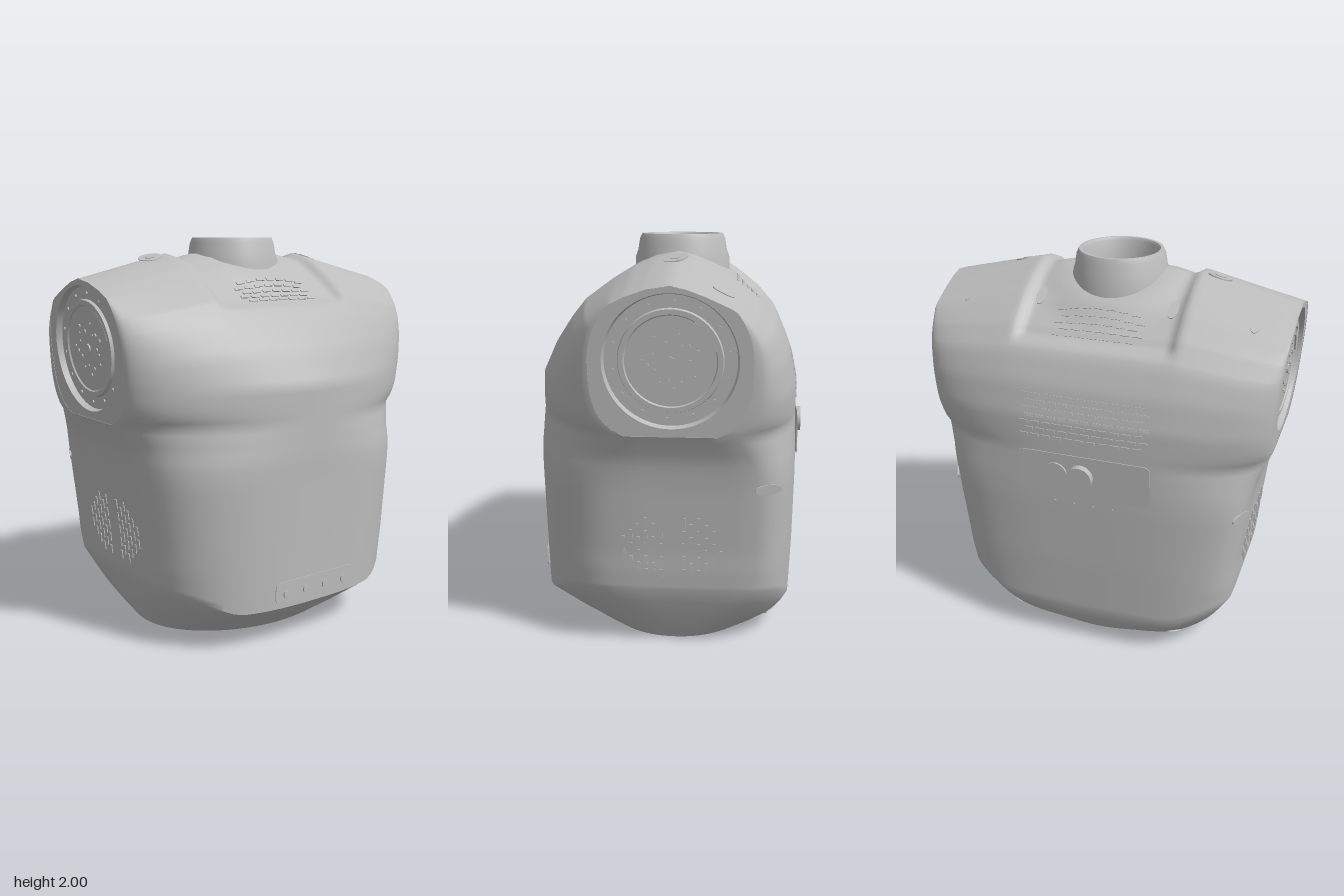
import * as THREE from 'three';
import { toCreasedNormals } from 'three/addons/utils/BufferGeometryUtils.js';

const grey = new THREE.MeshStandardMaterial({ color: 0xbcbcbc, side: THREE.DoubleSide });
grey.name = 'shell grey';

const CX = -0.05; // axis of the neck and shoulders
const HUB = { y: 1.465, r: 0.37, from: 1.12 };

// Cross-section keys: y, half depth, flat end from, flat end to, +x side, -x side, +x roundness, -x roundness
const KEYS = [
  [0, 0.58, -0.06, -0.04, 0.40, -0.50, 2, 2],
  [0.1, 0.66, -0.2, 0.04, 0.54, -0.6, 2.2, 2.6],
  [0.2, 0.725, -0.34, 0.13, 0.66, -0.635, 2.6, 3.4],
  [0.5, 0.74, -0.36, 0.13, 0.665, -0.645, 2.7, 3.5],
  [0.85, 0.78, -0.36, 0.13, 0.675, -0.65, 2.6, 3.5],
  [0.95, 0.797, -0.35, 0.13, 0.68, -0.65, 2.4, 3.3],
  [1.0, 0.81, -0.33, 0.13, 0.68, -0.65, 2.2, 3.1],
  [1.06, 0.834, 0, 0, 0.68, -0.65, 2, 2.9],
  [1.12, 0.86, 0, 0, 0.68, -0.65, 1.8, 2.7],
  [1.3, 0.87, 0, 0, 0.68, -0.645, 1.6, 2.6],
  [1.46, 0.88, 0, 0, 0.6, -0.61, 1.7, 2.6],
  [1.6, 0.89, 0, 0, 0.5, -0.55, 1.8, 2.6],
  [1.7, 0.9, 0, 0, 0.41, -0.46, 1.9, 2.6],
  [1.8, 0.9, 0, 0, 0.26, -0.33, 2, 2.6],
  [1.86, 0.9, 0, 0, 0.16, -0.22, 2, 2.5],
  [1.9, 0.9, 0, 0, 0.06, -0.13, 2, 2.2],
  [1.92, 0.9, 0, 0, CX, CX, 2, 2],
];
const STEPS = [0, 0.06, 0.12, 0.18, 0.23, 0.29, 0.34, 0.37, 0.39, 0.41, 0.43, 0.45, 0.47, 0.5, 0.56, 0.63, 0.7, 0.78, 0.85, 0.9, 0.94, 0.97, 0.985, 0.995, 1];
const FLAT = 10, F0 = STEPS.length - 1;
const { clamp, lerp, smoothstep } = THREE.MathUtils;
const inHub = (y) => y > HUB.from - 0.005;

function section(y) {
  let k = 1;
  while (k < KEYS.length - 1 && KEYS[k][0] < y) k++;
  const A = KEYS[k - 1], B = KEYS[k], t = clamp((y - A[0]) / (B[0] - A[0]), 0, 1);
  let [, E, a, b, R, L, nr, nl] = A.map((v, i) => v + (B[i] - v) * t);
  // shoulders slope down towards their ends
  const drop = 0.115 * clamp((y - 1.2) / 0.72, 0, 1);
  if (y > 1) {
    // shoulder end: round on top, squarer below
    const ye = Math.max(y, HUB.from) - drop, n = ye < HUB.y ? 3 : 2;
    const h = HUB.r * Math.pow(Math.max(1 - (Math.abs(ye - HUB.y) / HUB.r) ** n, 0), 1 / n);
    const w = clamp((y - 1) / (HUB.from - 1), 0, 1);
    if (w === 1) E = 0.86 + 0.07 * (ye - 1.11);
    b = lerp(0.13, Math.min(CX + h, R - Math.min(0.01, (R - CX) / 2)), w);
    a = lerp(-0.33, Math.max(CX - h, L + Math.min(0.01, (CX - L) / 2)), w);
  }
  const corner = (f, c, s, n) => [c + (s - c) * Math.pow(Math.max(1 - f ** n, 0), 1 / n), f * E];
  const pts = STEPS.map((f) => corner(f, b, R, nr));
  for (let i = 1; i < FLAT; i++) pts.push([b + ((a - b) * i) / FLAT, E]);
  [...STEPS].reverse().forEach((f) => pts.push(corner(f, a, L, nl)));
  return pts.map(([x, z]) => {
    // bottom bevel climbs at the sides
    const lift = 0.12 * smoothstep(z, 0.4, 0.73) * (y < 0.2 ? y / 0.2 : clamp(1 - (y - 0.2) / 0.22, 0, 1));
    const py = y + lift - drop * clamp((z - 0.42) / 0.48, 0, 1);
    // shallow step around the neck, rising again to meet the collar
    const low = x > CX ? 1.655 : 1.62;
    const s = 0.034 * (1 - smoothstep(z, 0.355, 0.415)) * smoothstep(y, low, low + 0.06)
      * smoothstep(Math.hypot(x - CX, z), 0.24, 0.43);
    const d = Math.hypot(x - CX, py - 1.4) || 1;
    return new THREE.Vector3(x - (s * (x - CX)) / d, py - (s * (py - 1.4)) / d, z);
  });
}

function bodyGeometry() {
  const ys = [0, 0.05, 0.1, 0.15];
  for (let y = 0.2; y < 0.99; y += 0.04) ys.push(y);
  for (let y = 1; y < 1.6; y += 0.03) ys.push(y);
  for (let y = 1.61; y < 1.905; y += 0.01) ys.push(y);
  ys.push(1.912, 1.92);
  const pts = [], idx = [];
  let m = 0, n = 0;
  ys.forEach((y) => {
    const half = section(y);
    m = half.length - 1;
    n = 2 * m;
    const back = half.slice(1, m).reverse().map((p) => new THREE.Vector3(p.x, p.y, -p.z));
    pts.push(...half, ...back);
  });
  for (let j = 0; j < ys.length - 1; j++) {
    for (let i = 0; i < n; i++) {
      const h = i < m ? i : n - 1 - i;
      if (inHub(ys[j]) && h >= F0 && h < F0 + FLAT) continue; // shoulder opening
      const A = j * n + i, B = j * n + ((i + 1) % n);
      const mx = (pts[A].x + pts[B + n].x) / 2, mz = (pts[A].z + pts[B + n].z) / 2;
      if (ys[j] > 1.6 && Math.hypot(mx - CX, mz) < 0.21) continue; // neck opening
      idx.push(A, A + n, B, B, A + n, B + n);
    }
  }
  const g = new THREE.BufferGeometry().setFromPoints(pts);
  g.setIndex(idx);
  return toCreasedNormals(g, 0.72);
}

// Flat face closing a shoulder, with a round hole for the joint
function shoulderFace(hole) {
  const right = [], left = [];
  for (let i = 0; i <= 40; i++) {
    const pts = section(HUB.from + ((1.92 - HUB.from) * i) / 40);
    const p = pts[F0], q = pts[F0 + FLAT];
    right.push(new THREE.Vector2(p.x - CX, p.y - HUB.y));
    left.unshift(new THREE.Vector2(q.x - CX, q.y - HUB.y));
  }
  const shape = new THREE.Shape([...right, ...left.slice(1)]);
  shape.holes.push(new THREE.Path().absarc(0, 0, hole, 0, Math.PI * 2));
  return new THREE.ShapeGeometry(shape, 32);
}

export function createModel() {
  const model = new THREE.Group();
  model.name = 'torso';
  const add = (parent, name, geo, x = 0, y = 0, z = 0) => {
    const mesh = new THREE.Mesh(geo, grey);
    mesh.name = name;
    mesh.position.set(x, y, z);
    parent.add(mesh);
    return mesh;
  };
  const body = add(model, 'bodyShell', bodyGeometry());
  body.updateMatrixWorld(true);

  // Lays a part on the shell where a ray meets it
  const ray = new THREE.Raycaster();
  const lay = (name, geo, from, dir, out = 0) => {
    const d = new THREE.Vector3(...dir);
    ray.set(new THREE.Vector3(...from), d);
    const hit = ray.intersectObject(body)[0];
    if (!hit) return;
    const nrm = hit.face.normal.clone();
    if (nrm.dot(d) > 0) nrm.negate();
    const p = hit.point.clone().addScaledVector(nrm, out);
    const mesh = add(model, name, geo, p.x, p.y, p.z);
    if (d.y) mesh.up.set(0, 0, -1);
    mesh.lookAt(p.add(nrm));
  };
  const disc = (r, depth, sides = 20) => new THREE.CylinderGeometry(r, r, depth, sides).rotateX(Math.PI / 2);
  const oval = (w, h) => disc(1, 0.008).scale(w, h, 1);
  const lathe = (pts, seg = 48, start = 0, len = Math.PI * 2) =>
    toCreasedNormals(new THREE.LatheGeometry(pts.map((p) => new THREE.Vector2(...p)), seg, start, len), 0.6);

  // Neck collar with a sunken mount
  add(model, 'neckCollar', lathe([[0.25, 1.7], [0.245, 1.88], [0.232, 1.915], [0.222, 1.975], [0.21, 2], [0.195, 2], [0.185, 1.985], [0.185, 1.83]]), CX);
  add(model, 'neckMount', new THREE.CylinderGeometry(0.19, 0.19, 0.02, 40), CX, 1.85);
  add(model, 'neckMountPlate', new THREE.CylinderGeometry(0.15, 0.15, 0.02, 40), CX, 1.865);
  add(model, 'neckCentreBolt', new THREE.CylinderGeometry(0.018, 0.018, 0.01, 6), CX, 1.878);
  for (let i = 0; i < 12; i++) {
    const t = (i * Math.PI) / 6, r = i % 2 ? 0.07 : 0.115;
    add(model, 'neckBolt', new THREE.CylinderGeometry(0.009, 0.009, 0.008, 8), CX + r * Math.cos(t), 1.877, r * Math.sin(t));
  }

  // Shoulder joints, mirrored front and back
  const dish = [[0.315, 0], [0.308, 0], [0.3, -0.03], [0.24, -0.03], [0.235, -0.015], [0.212, -0.015], [0.207, -0.022], [0, -0.022]];
  const notch = [[0.212, -0.022], [0.212, -0.014], [0.17, -0.014], [0.17, -0.022]];
  for (const s of [1, -1]) {
    const side = new THREE.Group(), hub = new THREE.Group();
    side.name = s > 0 ? 'frontShoulder' : 'backShoulder';
    side.position.x = CX;
    side.rotation.y = s > 0 ? 0 : Math.PI;
    hub.name = 'shoulderJoint';
    hub.position.set(0, HUB.y, 0.883);
    hub.rotation.x = 0.07;
    side.add(hub);
    model.add(side);
    add(hub, 'shoulderFace', shoulderFace(0.31)).scale.x = s; // same outline along x on both sides
    add(hub, 'jointDish', lathe(dish, 64).rotateX(Math.PI / 2));
    add(hub, 'jointNotch', lathe(notch, 12, 1.8, 0.8).rotateX(Math.PI / 2));
    add(hub, 'centreBolt', disc(0.024, 0.012, 6), 0, 0, -0.02);
    for (let i = 0; i < 14; i++) {
      const t = 2.4 + (i * Math.PI) / 7;
      add(hub, 'rimBolt', disc(0.009, 0.01, 10), 0.268 * Math.cos(t), 0.268 * Math.sin(t), -0.028);
    }
    for (let i = 0; i < 18; i++) {
      const t = i * 2.4, r = 0.085 + 0.022 * (i % 3);
      add(hub, 'plateBolt', disc(i % 2 ? 0.006 : 0.01, 0.01, 10), r * Math.cos(t), r * Math.sin(t), -0.021);
    }
  }

  // Round grilles on both broad walls
  const slot = new THREE.BoxGeometry(0.015, 0.046, 0.009);
  for (const s of [1, -1]) {
    for (let c = 0; c < 6; c++) {
      for (const side of [1, -1]) {
        const dx = 0.055 + c * 0.036, reach = Math.sqrt(0.2 ** 2 - (dx * 0.75) ** 2) - 0.03;
        for (let k = -3; k <= 3; k++) {
          const dy = (k + (c % 2 ? 0.5 : 0)) * 0.068;
          if (Math.abs(dy) < reach) lay('grilleSlot', slot, [CX + side * dx, 0.545 + dy, 2 * s], [0, 0, -s]);
        }
      }
    }
    // Oval sockets and top screws
    lay('sideSocket', oval(0.068, 0.026), [-0.5, 0.85, 2 * s], [0, 0, -s], -0.001);
    lay('lowSocket', oval(0.04, 0.024), [-0.53, 0.1, 2 * s], [0, 0, -s], -0.001);
    for (const z of [0.335, 0.73]) lay('topSocket', oval(0.056, 0.026), [-0.28, 3, s * z], [0, -1, 0]);
    lay('topScrewRim', disc(0.06, 0.006, 32), [CX, 3, s * 0.505], [0, -1, 0]);
    lay('topScrewHead', disc(0.028, 0.008, 6), [CX, 3, s * 0.505], [0, -1, 0], 0.002);
  }

  // Slots beside the neck
  for (let r = 0; r < 5; r++) {
    for (let k = 0; k < 7; k++) {
      const z = (k - 3) * 0.062 + (r % 2 ? 0.031 : 0) - 0.015;
      lay('neckSlot', slot, [0.255 + r * 0.027, 3, z], [0, -1, 0]);
      lay('neckSlot', slot, [-0.342 - r * 0.026, 3, z], [0, -1, 0]);
    }
  }

  // Upper grille on the -x side
  const slotH = new THREE.BoxGeometry(0.045, 0.015, 0.009);
  for (let r = 0; r < 7; r++)
    for (let k = 0; k < 11; k++)
      lay('rearSlot', slotH, [-2, 1.21 + r * 0.034, (k - 5) * 0.058 + (r % 2 ? 0.014 : -0.014)], [1, 0, 0]);

  // Control panel with dial and button
  const rounded = (w, h, r) => {
    const s = new THREE.Shape();
    s.moveTo(-w / 2 + r, -h / 2);
    for (const [x, y, t] of [[1, -1, -0.5], [1, 1, 0], [-1, 1, 0.5], [-1, -1, 1]])
      s.absarc(x * (w / 2 - r), y * (h / 2 - r), r, t * Math.PI, (t + 0.5) * Math.PI);
    return new THREE.ExtrudeGeometry(s, { depth: 0.004, bevelEnabled: false, curveSegments: 5 });
  };
  lay('controlPanel', rounded(0.68, 0.22, 0.03), [-2, 1.02, 0.001], [1, 0, 0]);
  add(model, 'dial', disc(0.06, 0.02, 32).rotateY(Math.PI / 2), -0.653, 1.02, -0.14);
  add(model, 'button', disc(0.065, 0.06, 32).rotateY(Math.PI / 2), -0.657, 1.02, -0.01);
  for (let i = 0; i < 4; i++) lay('panelPin', disc(0.007, 0.008, 8), [-2, 0.86, -0.15 + i * 0.1], [1, 0, 0]);

  // Light strip low on the +x side
  lay('lightStrip', rounded(0.51, 0.11, 0.03), [2, 0.285, 0.001], [-1, 0, 0]);
  for (const z of [0.19, 0.065, -0.06, -0.185])
    add(model, 'stripLight', disc(0.02, 0.02, 16).rotateY(Math.PI / 2), 0.663, 0.275, z);

  // Open base showing the hollow shell and an inner plate
  const base = new THREE.Shape().absellipse(CX, 0, 0.45, 0.58, 0, Math.PI * 2);
  base.holes.push(new THREE.Path().absarc(CX, 0, 0.365, 0, Math.PI * 2));
  add(model, 'baseRing', new THREE.ShapeGeometry(base, 40).rotateX(Math.PI / 2), 0, 0.001);
  add(model, 'baseRim', new THREE.CylinderGeometry(0.365, 0.365, 0.04, 48, 1, true), CX, 0.021);
  add(model, 'innerPlate', new THREE.BoxGeometry(0.42, 0.03, 0.42), CX, 0.18);
  add(model, 'innerSocket', new THREE.BoxGeometry(0.16, 0.02, 0.16), CX, 0.16);
  return model;
}
